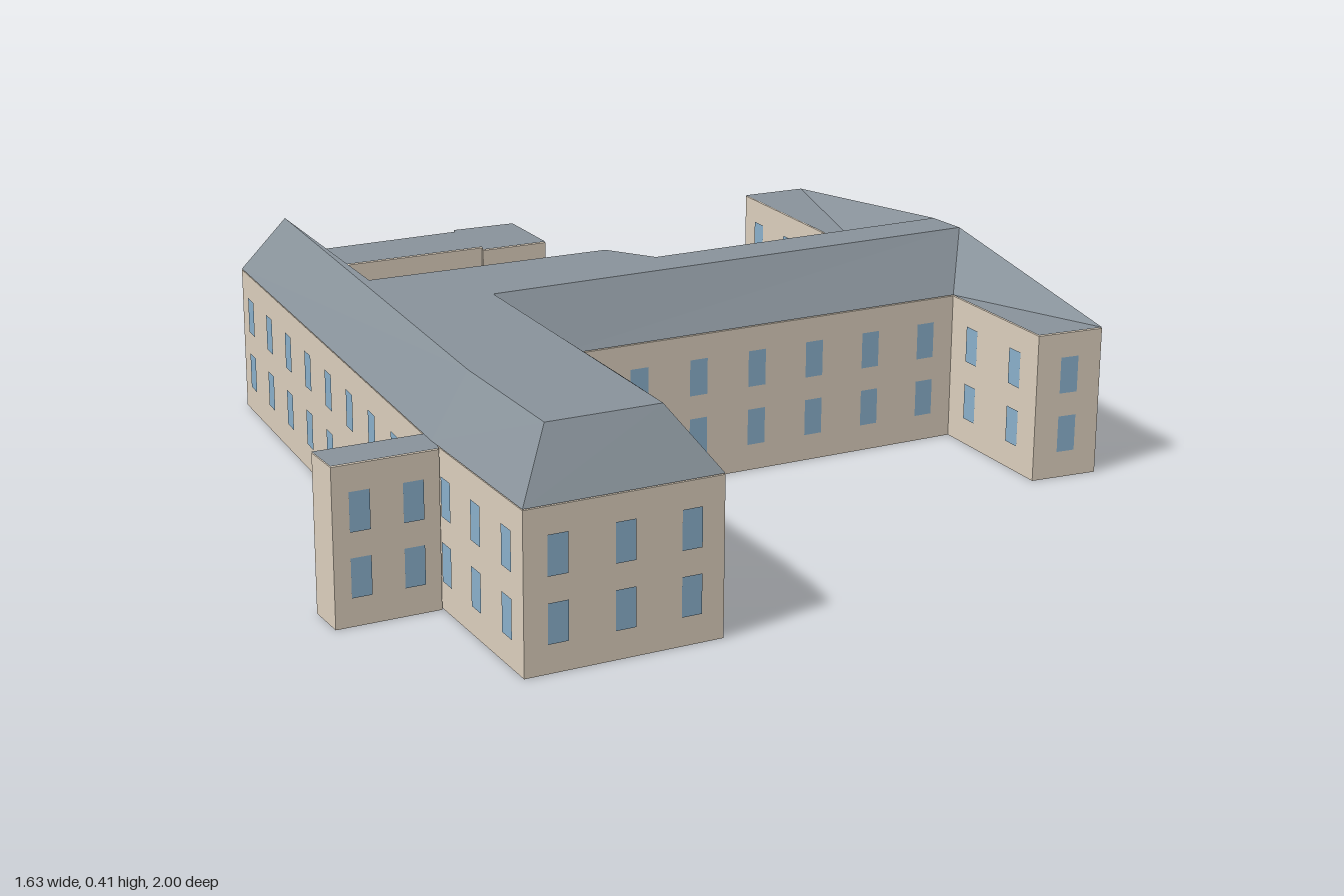
import * as THREE from 'three';
import { mergeGeometries } from 'three/addons/utils/BufferGeometryUtils.js';

const EAVE = 0.295, RIDGE = 0.41;
const mat = (color) => new THREE.MeshStandardMaterial({ color, flatShading: true, side: THREE.DoubleSide });
const wallMat = mat(0xdccfbd), roofMat = mat(0x89939b), glassMat = mat(0x8ab0cb);

// Footprints are lists of [x, z]; shapes lie in (x, -z) and are then laid flat
const vectors = (pts) => pts.map(([x, z]) => new THREE.Vector2(x, -z));
const counterClockwise = (pts) => (THREE.ShapeUtils.isClockWise(vectors(pts)) ? [...pts].reverse() : pts);

function flat(pts, y) {
  return new THREE.ShapeGeometry(new THREE.Shape(vectors(pts))).rotateX(-Math.PI / 2).translate(0, y, 0);
}

// Two rows of windows spread evenly along every wall that is long enough
function windows(pts) {
  const panes = [];
  pts.forEach(([x0, z0], i) => {
    const [x1, z1] = pts[(i + 1) % pts.length];
    const dx = x1 - x0, dz = z1 - z0, length = Math.hypot(dx, dz);
    if (length < 0.1) return;
    const n = Math.max(1, Math.round(length / 0.122));
    const nx = -dz / length, nz = dx / length;
    for (let k = 0; k < n; k++) {
      const t = (k + 0.5) / n;
      for (const y of [0.09, 0.21]) {
        panes.push(new THREE.PlaneGeometry(0.038, 0.073)
          .rotateY(Math.atan2(nx, nz))
          .translate(x0 + dx * t + nx * 0.002, y, z0 + dz * t + nz * 0.002));
      }
    }
  });
  return panes;
}

// Walls with windows, and a flat roof where wanted
function body(name, footprint, flatRoof = true) {
  const group = new THREE.Group();
  group.name = name;
  const pts = counterClockwise(footprint);
  const add = (part, geometry, material) => {
    const mesh = new THREE.Mesh(geometry, material);
    mesh.name = part;
    group.add(mesh);
  };
  const walls = new THREE.ExtrudeGeometry(new THREE.Shape(vectors(pts)), { depth: EAVE, bevelEnabled: false });
  add('walls', walls.rotateX(-Math.PI / 2), wallMat);
  const panes = windows(pts);
  if (panes.length) add('windows', mergeGeometries(panes), glassMat);
  if (flatRoof) add('flatRoof', flat(pts, EAVE + 0.002), roofMat);
  return group;
}

// Roof faces from corner loops, each turned to face upwards
function roofGeometry(faces) {
  const pos = [];
  for (const face of faces) {
    const v = face.map((p) => new THREE.Vector3(p[0], p[2] ?? EAVE + 0.002, p[1]));
    for (let i = 1; i < v.length - 1; i++) {
      let tri = [v[0], v[i], v[i + 1]];
      const up = tri[1].clone().sub(tri[0]).cross(tri[2].clone().sub(tri[0])).y;
      if (up < 0) tri = [tri[0], tri[2], tri[1]];
      tri.forEach((p) => pos.push(p.x, p.y, p.z));
    }
  }
  const geometry = new THREE.BufferGeometry();
  geometry.setAttribute('position', new THREE.Float32BufferAttribute(pos, 3));
  geometry.computeVertexNormals();
  return geometry;
}

export function createModel() {
  const model = new THREE.Group();
  model.name = 'building';

  // Eave corners: front block, back block, then the west side of the middle wing
  const a = [-0.785, 0.25], b = [0.22, 0.8], d = [0.55, 0.955], e = [0.71, 0.62];
  const f = [0.555, 0.547], f2 = [0.57, 0.532], g2 = [0.17, 0.346], g = [0.155, 0.354], h = [0.085, 0.32];
  const i = [0.475, -0.49], s = [0.745, -0.36], east = [0.815, -0.48], n = [-0.24, -1], w = [-0.305, -0.875];
  const k2 = [0.165, -0.645], k = [0.255, -0.6], l = [0.02, -0.11], m = [0, -0.09];
  const t1 = [-0.085, -0.13], t2 = [-0.15, -0.02], p = [-0.12, -0.01];
  const q = [-0.295, 0.32], r = [-0.655, 0.13], a2 = [-0.785, 0.12];
  model.add(body('mainBlock',
    [a, b, d, e, f, f2, g2, g, h, i, s, east, n, w, k2, k, l, m, t1, t2, p, q, r, a2], false));

  // Ridge corners
  const top = (x, z) => [x, z, RIDGE];
  const A = top(-0.7, 0.205), B = top(0.24, 0.725), D = top(0.515, 0.855), E = top(0.61, 0.66);
  const F = top(0.465, 0.588), G = top(0.2, 0.46), H = top(-0.015, 0.355), Y = top(0.43, -0.58);
  const X = top(0.35, -0.61), V = top(0.075, -0.03), U = top(-0.035, -0.01), Q = top(-0.26, 0.43);
  const slopes = new THREE.Mesh(roofGeometry([
    [a, b, B, A], [b, d, D, B], [d, e, E, D], [a2, a, A], [r, a2, A], [q, r, A, Q],
    [e, f, F, E], [f, f2, F], [f2, g2, G, F], [g2, g, G], [g, h, H, G],
    [h, i, Y, H], [i, east, Y], [i, s, east], [east, n, X, Y], [n, w, k2], [n, k2, X], [k2, k, X],
    [k, l, V, X], [l, m, U, V], [m, t1, U], [t1, t2, U], [t2, p, U], [p, q, Q, U],
  ]), roofMat);
  slopes.name = 'roofSlopes';
  const deck = new THREE.Mesh(flat([A, B, D, E, H, Y, X, V, U, Q], RIDGE), roofMat);
  deck.name = 'roofDeck';
  model.add(slopes, deck);

  // Flat-roofed wings
  model.add(body('porch', [[0.095, 0.965], [0.17, 0.998], [0.255, 0.82], [0.19, 0.77]]));
  model.add(body('sideWing', [
    [-0.785, 0.12], [-0.815, 0.12], [-0.8, 0.087], [-0.78, 0.09], [-0.625, -0.235], [-0.635, -0.245],
    [-0.57, -0.365], [-0.42, -0.295], [-0.485, -0.165], [-0.5, -0.18], [-0.655, 0.13],
  ]));

  // Shallow bays along the west wall of the middle wing
  const along = [0.432, -0.902], out = [-0.902, -0.432];
  for (const start of [0.07, 0.23, 0.39]) {
    const corner = (u, v) => [l[0] + along[0] * u + out[0] * v, l[1] + along[1] * u + out[1] * v];
    model.add(body('bay', [corner(start, -0.01), corner(start, 0.016), corner(start + 0.102, 0.016), corner(start + 0.102, -0.01)]));
  }
  return model;
}
